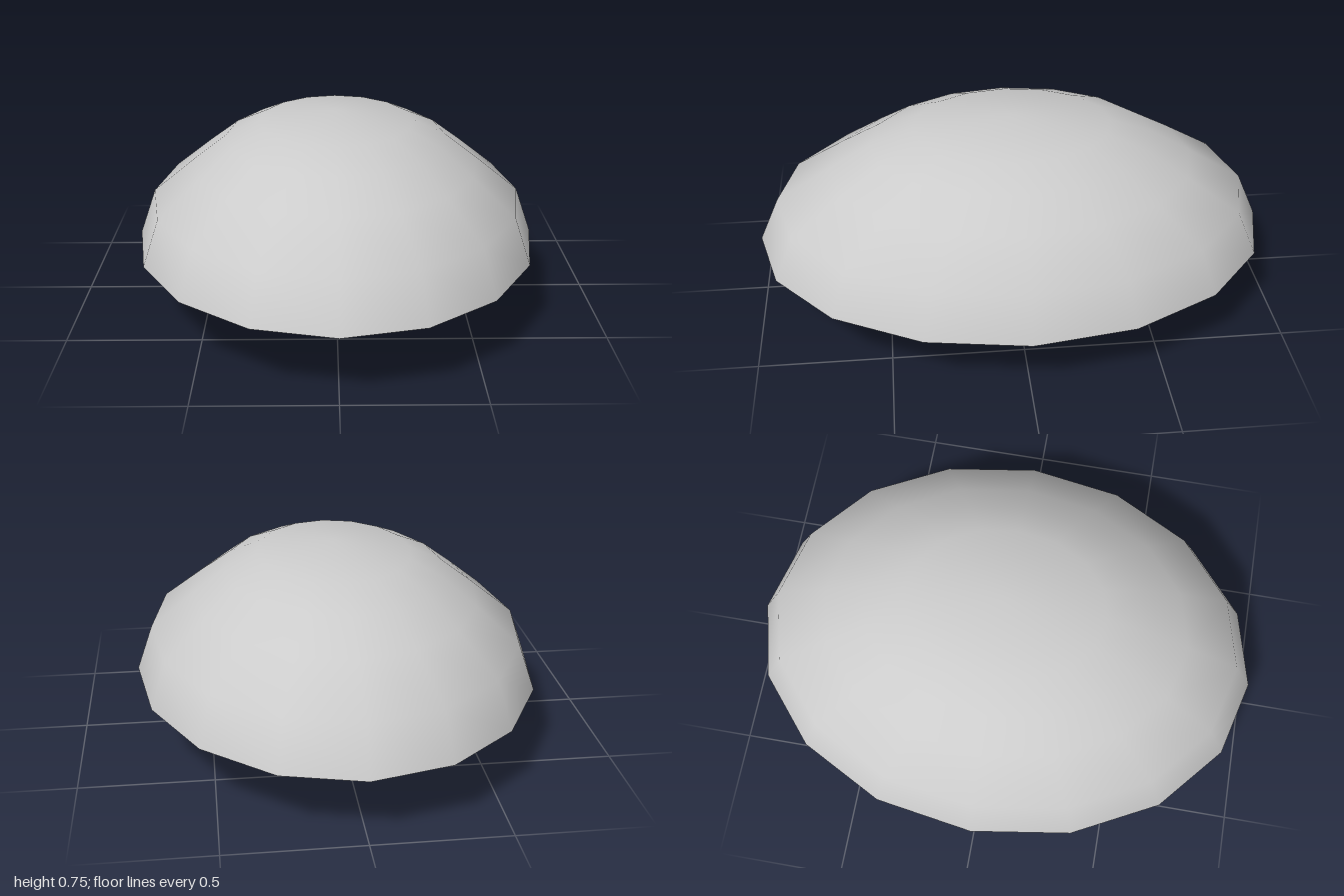
import * as THREE from 'three';
import { toCreasedNormals } from 'three/addons/utils/BufferGeometryUtils.js';

const SIDES = 16;
const WIDTH = 0.78; // width of the oval relative to its length

export function createModel() {
  const model = new THREE.Group();
  const grey = new THREE.MeshStandardMaterial({ color: 0xcccccc });

  const add = (name, geometry) => {
    const mesh = new THREE.Mesh(geometry, grey);
    mesh.name = name;
    model.add(mesh);
    return mesh;
  };

  // Oval body turned from a [radius, y] profile, squeezed in x
  const oval = (profile, crease) => {
    const points = profile.map(([r, y]) => new THREE.Vector2(r, y));
    const geometry = new THREE.LatheGeometry(points, SIDES);
    geometry.scale(WIDTH, 1, 1);
    return toCreasedNormals(geometry, crease);
  };

  // Domed cover: inside downwards, across the rim, outside upwards
  add('domeShell', oval([
    [0, 0.705], [0.35, 0.675], [0.52, 0.61], [0.67, 0.53], [0.87, 0.4], [0.925, 0.243],
    [1, 0.243],
    [0.922, 0.417], [0.71, 0.55], [0.55, 0.645], [0.385, 0.705], [0, 0.745],
  ], 0.9));

  // Shallow stepped pan closing the underside
  add('basePan', oval([
    [0.44, 0.104], [0.46, 0.115], [0.6, 0.155], [0.65, 0.175],
    [0.89, 0.213], [0.908, 0.222], [0.915, 0.25],
  ], 0.5));

  // Slightly bulging plate in the middle of the pan
  add('bottomPlate', oval([[0, 0.083], [0.23, 0.088], [0.44, 0.104]], 0.5));

  // Rectangular frame, open in the middle
  const rectangle = (target, w, d) => {
    target.moveTo(-w, -d);
    target.lineTo(w, -d);
    target.lineTo(w, d);
    target.lineTo(-w, d);
    target.closePath();
    return target;
  };
  const frame = (name, w, d, rim, yBottom, height) => {
    const shape = rectangle(new THREE.Shape(), w, d);
    shape.holes.push(rectangle(new THREE.Path(), w - rim, d - rim));
    const geometry = new THREE.ExtrudeGeometry(shape, { depth: height, bevelEnabled: false });
    geometry.rotateX(-Math.PI / 2);
    add(name, geometry).position.set(0, yBottom, -0.32);
  };
  frame('connectorFrame', 0.22, 0.07, 0.014, 0.094, 0.02);
  frame('connectorLip', 0.2, 0.046, 0.008, 0.083, 0.025);

  // Two pairs of mounting pins with collars
  for (const side of [-1, 1]) {
    for (const x of [0.165, 0.257]) {
      add('mountingPin', new THREE.CylinderGeometry(0.008, 0.008, 0.1, 10))
        .position.set(side * x, 0.05, -0.155);
      add('pinCollar', new THREE.CylinderGeometry(0.011, 0.011, 0.012, 10))
        .position.set(side * x, 0.085, -0.155);
    }
  }

  return model;
}
